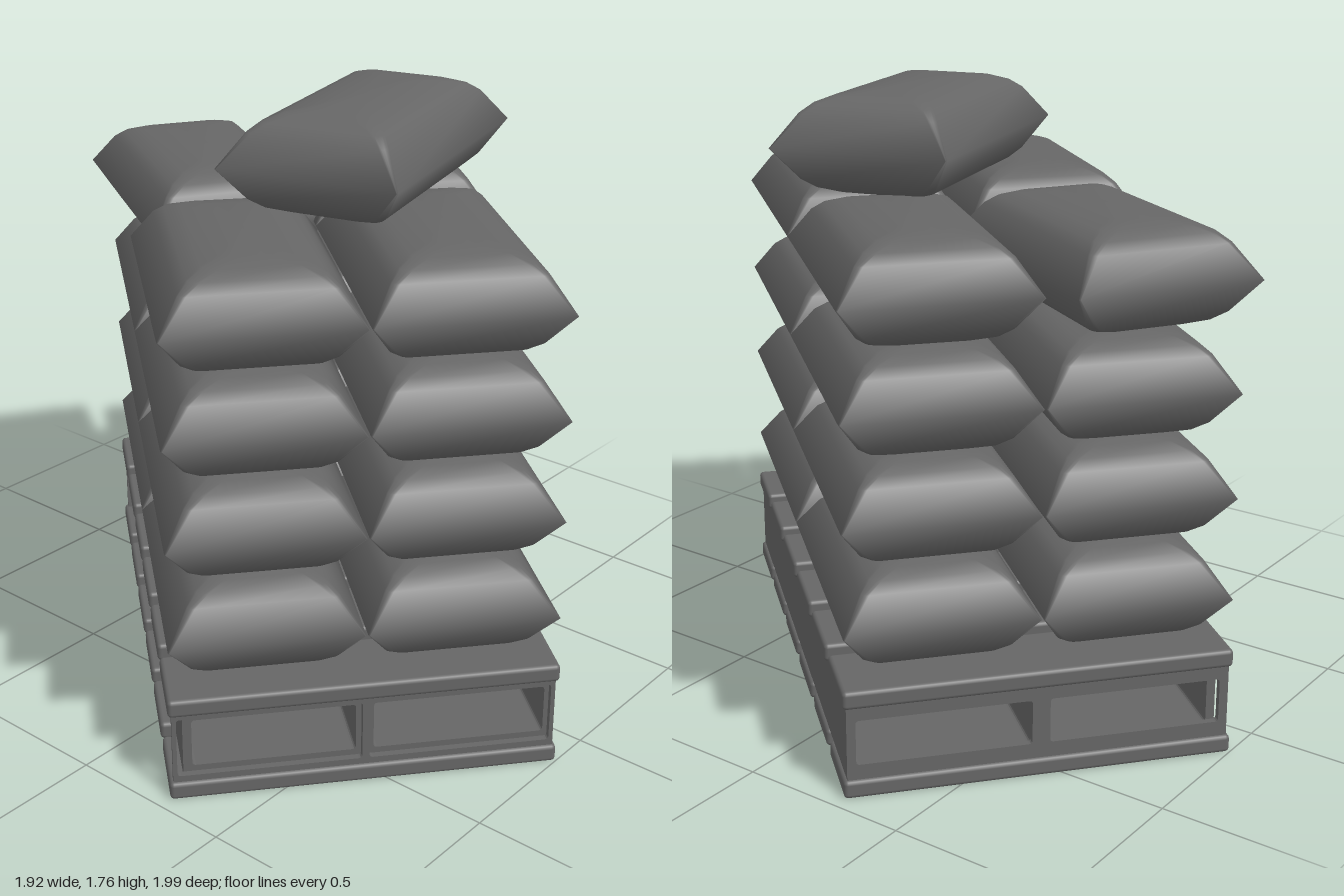
import * as THREE from 'three';
import { RoundedBoxGeometry } from 'three/addons/geometries/RoundedBoxGeometry.js';

const mat = new THREE.MeshStandardMaterial({ color: 0x666666 });
const YAW = 0.87;            // the pallet stands at an angle
const LEN = 1.7, WID = 1.09;

function add(parent, geometry, name, x = 0, y = 0, z = 0, yaw = 0) {
  const mesh = new THREE.Mesh(geometry, mat);
  mesh.name = name;
  mesh.position.set(x, y, z);
  mesh.rotation.y = yaw;
  parent.add(mesh);
}

// Pillow-shaped sack: stacked rounded rectangles, widest at the side seam, smooth all over
function sackGeometry(length, width) {
  // [inset, height, corner radius] from the seam to the top
  const half = [[0, 0, 0.004], [0.06, 0.093, 0.02], [0.088, 0.118, 0.03],
    [0.13, 0.135, 0.04], [0.2, 0.145, 0.04]];
  const rings = [...half.slice(1).reverse().map(([d, h, r]) => [d, -h, r]), ...half];
  const SEG = 4, N = 4 * (SEG + 1);
  const pos = [], idx = [];
  for (const [d, h, r] of rings) {
    for (let c = 0; c < 4; c++) {
      const sx = c === 0 || c === 3 ? 1 : -1, sz = c < 2 ? 1 : -1;
      for (let i = 0; i <= SEG; i++) {
        const a = (c + i / SEG) * Math.PI / 2;
        pos.push(sx * (length / 2 - d - r) + r * Math.cos(a), h,
          sz * (width / 2 - d - r) + r * Math.sin(a));
      }
    }
  }
  for (let k = 0; k < rings.length - 1; k++) {
    for (let i = 0; i < N; i++) {
      const a = k * N + i, b = k * N + (i + 1) % N;
      idx.push(a, a + N, b, b, a + N, b + N);
    }
  }
  // Bottom and top caps
  const bottom = pos.length / 3, top = bottom + 1, last = (rings.length - 1) * N;
  pos.push(0, -0.148, 0, 0, 0.149, 0);
  for (let i = 0; i < N; i++) {
    const j = (i + 1) % N;
    idx.push(bottom, i, j, top, last + j, last + i);
  }
  const g = new THREE.BufferGeometry();
  g.setAttribute('position', new THREE.Float32BufferAttribute(pos, 3));
  g.setIndex(idx);
  g.computeVertexNormals();
  return g;
}

function rectPath(path, x0, y0, x1, y1, r) {
  path.moveTo(x0 + r, y0);
  path.lineTo(x1 - r, y0);
  path.quadraticCurveTo(x1, y0, x1, y0 + r);
  path.lineTo(x1, y1 - r);
  path.quadraticCurveTo(x1, y1, x1 - r, y1);
  path.lineTo(x0 + r, y1);
  path.quadraticCurveTo(x0, y1, x0, y1 - r);
  path.lineTo(x0, y0 + r);
  path.quadraticCurveTo(x0, y0, x0 + r, y0);
  return path;
}

// Length of pallet core with two fork tunnels; the back wall may be set in
function coreGeometry(from, to, backInset, wall, post, y0, y1) {
  const w = WID / 2 - 0.01;
  const shape = rectPath(new THREE.Shape(), -w, 0.05, w - backInset, 0.267, 0.002);
  shape.holes.push(
    rectPath(new THREE.Path(), -w + wall, y0, -post, y1, 0.01),
    rectPath(new THREE.Path(), post, y0, w - backInset - wall, y1, 0.01));
  const g = new THREE.ExtrudeGeometry(shape, { depth: to - from, bevelEnabled: false, curveSegments: 3 });
  g.translate(0, 0, from);
  return g.rotateY(Math.PI / 2);
}

// Pallet: tunnelled core with a frame at each end, between two decks of slats
function buildPallet() {
  const pallet = new THREE.Group();
  pallet.name = 'pallet';

  const end = LEN / 2 - 0.01, frame = 0.02;
  add(pallet, coreGeometry(-end + frame, end - frame, 0.03, 0.025, 0.025, 0.088, 0.232), 'palletCore');
  add(pallet, coreGeometry(-end, -end + frame, 0, 0.012, 0.01, 0.07, 0.25), 'openEndFrame');
  add(pallet, coreGeometry(end - frame, end, 0, 0.025, 0.025, 0.095, 0.225), 'closedEndFrame');

  const count = 6, gap = 0.055, slatW = (LEN - gap * (count - 1)) / count;
  const slat = new RoundedBoxGeometry(slatW, 0.052, WID, 2, 0.012);
  for (let i = 0; i < count; i++) {
    const x = -LEN / 2 + slatW / 2 + i * (slatW + gap);
    add(pallet, slat, 'bottomSlat', x, 0.026, 0);
    add(pallet, slat, 'topSlat', x, 0.288, 0);
  }
  return pallet;
}

export function createModel() {
  const model = new THREE.Group();
  model.name = 'palletOfSacks';

  const load = new THREE.Group();
  load.name = 'loadedPallet';
  load.rotation.y = YAW;
  load.add(buildPallet());

  // Four layers of two by two sacks; one sack in the top layer is skewed
  const sack = sackGeometry(0.841, 0.535);
  for (let layer = 0; layer < 4; layer++) {
    for (const sx of [-1, 1]) {
      for (const sz of [-1, 1]) {
        const skewed = layer === 3 && sx === 1 && sz === -1;
        add(load, sack, skewed ? 'skewedSack' : 'sack', sx * 0.422, 0.461 + layer * 0.2945,
          sz * 0.27 - (skewed ? 0.004 : 0), skewed ? 0.15 : 0);
      }
    }
  }
  model.add(load);

  // Single sack lying across the stack
  add(model, sack, 'topSack', 0.037, 1.616, 0.165, 0.26);
  return model;
}
